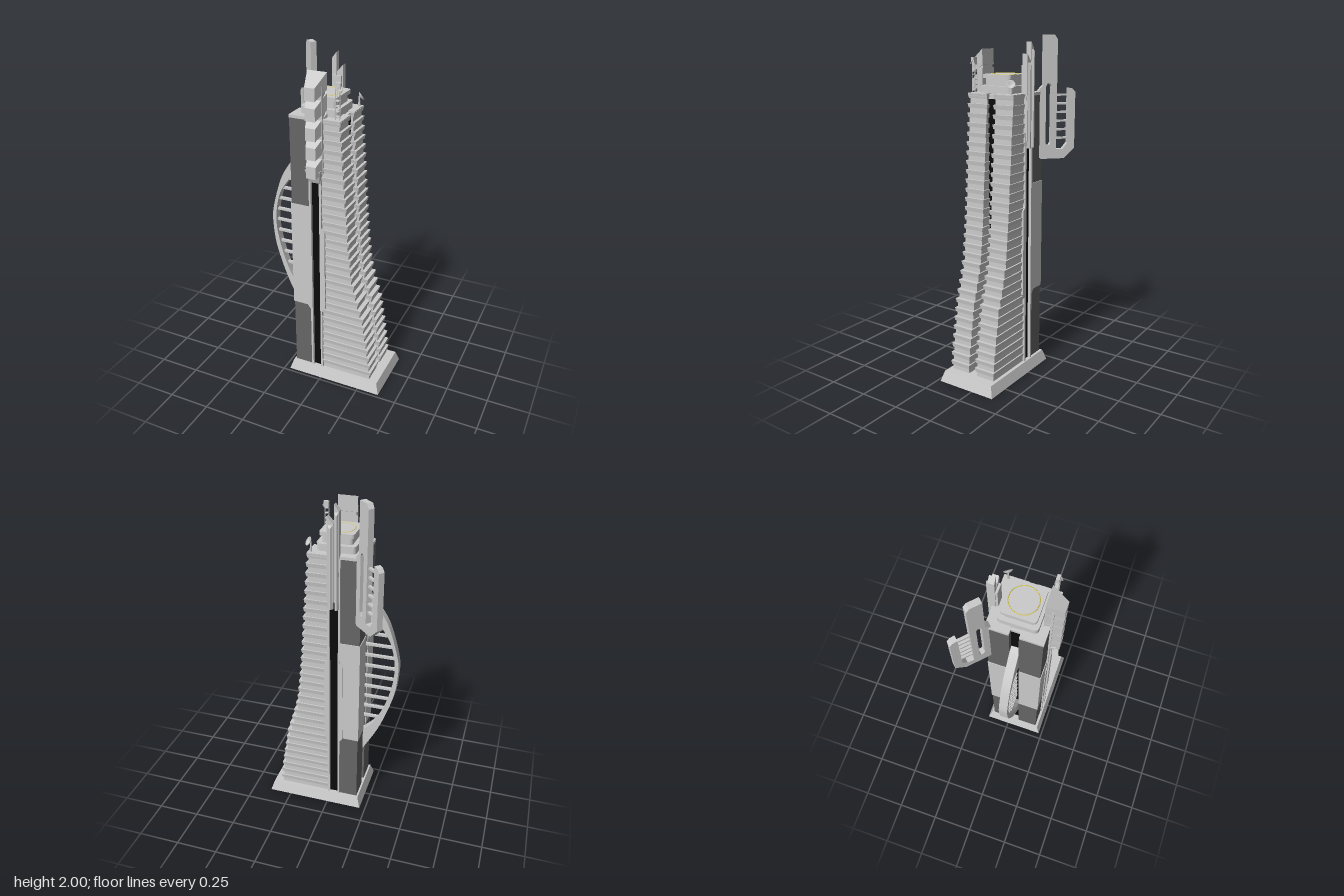
import * as THREE from 'three';

const grey = new THREE.MeshStandardMaterial({ color: 0xcccccc, flatShading: true });
const black = new THREE.MeshStandardMaterial({ color: 0x0c0c0c });
const lineGrey = new THREE.MeshStandardMaterial({ color: 0x666666 });
const yellow = new THREE.MeshStandardMaterial({ color: 0xe8d860 });
const ZC = 0.0425; // middle plane of the tower, front to back
const BOTTOM = 0.065, ROOF = 1.67;

function add(parent, name, geo, mat = grey) {
  const m = new THREE.Mesh(geo, mat);
  m.name = name;
  parent.add(m);
  return m;
}

// box given by its limits
function box(x0, x1, y0, y1, z0, z1) {
  return new THREE.BoxGeometry(x1 - x0, y1 - y0, z1 - z0)
    .translate((x0 + x1) / 2, (y0 + y1) / 2, (z0 + z1) / 2);
}

// unit box whose corners are placed by a rule of (a, b, c), each 0 or 1
function warpBox(rule) {
  const g = new THREE.BoxGeometry(1, 1, 1).translate(0.5, 0.5, 0.5);
  const p = g.attributes.position;
  for (let i = 0; i < p.count; i++) {
    p.setXYZ(i, ...rule(Math.round(p.getX(i)), Math.round(p.getY(i)), Math.round(p.getZ(i))));
  }
  g.computeVertexNormals();
  return g;
}

// box whose bottom and top are drawn in by different amounts
function taper(x0, x1, y0, y1, z0, z1, low, high) {
  return warpBox((a, b, c) => {
    const d = b ? high : low;
    return [a ? x1 - d : x0 + d, b ? y1 : y0, c ? z1 - d : z0 + d];
  });
}

function plate(points, depth) {
  const shape = new THREE.Shape(points.map(([x, y]) => new THREE.Vector2(x, y)));
  return new THREE.ExtrudeGeometry(shape, { depth, bevelEnabled: false });
}

// right edge of the tower at height y
const EDGE = [[0, 0.33], [0.2, 0.31], [0.5, 0.262], [0.62, 0.225], [0.75, 0.192], [1, 0.165], [1.38, 0.138], [1.7, 0.113]];
function edgeAt(y) {
  const i = Math.max(1, EDGE.findIndex(e => e[0] >= y));
  const [a, b] = [EDGE[i - 1], EDGE[i]];
  return THREE.MathUtils.mapLinear(y, a[0], b[0], a[1], b[1]);
}

function buildFloors(tower) {
  const floors = new THREE.Group();
  floors.name = 'floors';
  tower.add(floors);
  const n = 30, h = (ROOF + 0.01 - BOTTOM) / n;
  for (let i = 0; i < n; i++) {
    const y = BOTTOM + i * h, x = edgeAt(y + h);
    for (const [z0, z1] of [[-0.104, 0.014], [0.071, 0.189]]) {
      add(floors, 'floorWall', box(0, x - 0.008, y, y + h * 0.6, z0, z1));
      add(floors, 'floorSlab', taper(-0.002, x + 0.003, y + h * 0.55, y + h, z0 - 0.008, z1 + 0.008, 0.004, 0));
    }
  }
}

function buildGlass(tower) {
  for (const [z0, z1, s] of [[-0.108, 0.016, -1], [0.069, 0.193, 1]]) {
    const g = new THREE.Group();
    g.name = 'glassCorner';
    tower.add(g);
    const x0 = -0.183, x1 = -0.068, e = 0.001;
    add(g, 'glass', box(x0, x1, BOTTOM, ROOF, z0, z1), black);
    // glazing bars
    for (let i = 1; i < 30; i++) {
      const y = BOTTOM + i * 0.0535;
      add(g, 'crossBar', box(x0 - e, x1, y - 0.001, y + 0.001, z0 - e, z1 + e), lineGrey);
    }
    for (let i = 0; i <= 5; i++) {
      const x = x0 + (x1 - x0) * i / 5, z = z0 + (z1 - z0) * i / 5;
      add(g, 'uprightBar', box(x - e, x + e, BOTTOM, ROOF, z0 - e, z1 + e), lineGrey);
      add(g, 'uprightBar', box(x0 - e, x1, BOTTOM, ROOF, z - e, z + e), lineGrey);
    }
    // solid panel wrapping the corner
    add(g, 'cornerPanel', s > 0 ? box(-0.188, -0.07, 0.505, 1.165, 0.069, 0.198)
      : box(-0.188, -0.07, 0.505, 1.165, -0.113, 0.016));
  }
}

function buildPillars(tower) {
  const left = [[-0.06, BOTTOM], [-0.06, ROOF], [-0.072, ROOF], [-0.072, 1.04], [-0.09, 1.02], [-0.09, 0.505], [-0.072, 0.48], [-0.072, BOTTOM]];
  const right = [[-0.01, BOTTOM], [0.003, BOTTOM], [0.003, 0.48], [0.022, 0.505], [0.022, 1.02], [0.003, 1.04], [0.003, ROOF], [-0.01, ROOF]];
  for (const z of [0.17, -0.118]) {
    for (const pts of [left, right]) {
      add(tower, 'pillar', plate(pts, 0.033)).position.z = z;
    }
  }
}

function buildArch(tower) {
  const v = a => a.map(([x, y]) => new THREE.Vector2(x, y));
  const outer = [[-0.188, 1.435], [-0.265, 1.335], [-0.325, 1.225], [-0.378, 1.04], [-0.384, 0.93], [-0.362, 0.77], [-0.285, 0.545], [-0.188, 0.36]];
  const inner = [[-0.188, 0.505], [-0.27, 0.6], [-0.335, 0.78], [-0.363, 0.96], [-0.335, 1.13], [-0.27, 1.24]];
  const innerCurve = new THREE.SplineCurve(v(inner)).getPoints(30);
  const pts = [new THREE.Vector2(-0.155, 1.46), ...new THREE.SplineCurve(v(outer)).getPoints(40),
    new THREE.Vector2(-0.155, 0.33), new THREE.Vector2(-0.155, 0.48), ...innerCurve, new THREE.Vector2(-0.155, 1.245)];
  const geo = new THREE.ExtrudeGeometry(new THREE.Shape(pts), { depth: 0.05, bevelEnabled: false });
  add(tower, 'sideArch', geo).position.z = 0.018;
  for (let i = 0; i < 9; i++) {
    const y = 0.6 + i * 0.0715;
    const reach = innerCurve.reduce((a, b) => Math.abs(b.y - y) < Math.abs(a.y - y) ? b : a).x;
    add(tower, 'archRung', box(reach - 0.008, -0.15, y - 0.007, y + 0.007, 0.034, 0.052));
  }
}

// diagonal blade with a ladder frame at the back corner
function buildBlade(tower) {
  const g = new THREE.Group();
  g.name = 'cornerBlade';
  const shape = new THREE.Shape([[0, 1.31], [0.02, 1.295], [0.16, 1.295], [0.222, 1.355], [0.222, 1.68], [0.205, 1.7], [0.178, 1.705],
    [0.178, 1.385], [0.15, 1.35], [0.112, 1.35], [0.112, 1.975], [0.095, 2], [0.03, 2], [0.03, 1.72], [0, 1.69]]
    .map(([x, y]) => new THREE.Vector2(x, y)));
  shape.holes.push(new THREE.Path([[0.047, 1.39], [0.055, 1.375], [0.07, 1.375], [0.078, 1.39],
    [0.078, 1.715], [0.07, 1.73], [0.055, 1.73], [0.047, 1.715]].map(([x, y]) => new THREE.Vector2(x, y))));
  add(g, 'blade', new THREE.ExtrudeGeometry(shape, { depth: 0.034, bevelEnabled: false }).translate(0, 0, -0.017));
  for (let i = 0; i < 6; i++) {
    const y = 1.415 + i * 0.05;
    add(g, 'bladeRung', box(0.105, 0.185, y - 0.006, y + 0.006, -0.008, 0.008));
  }
  g.position.set(-0.163, 0, -0.09);
  g.rotation.y = Math.PI * 0.757;
  tower.add(g);
}

// stacked wedge hoods on the front
function buildHoods(tower) {
  add(tower, 'hoodSpine', box(-0.078, 0.015, 1.38, 1.86, 0.165, 0.205));
  add(tower, 'hoodFoot', warpBox((a, b, c) => [-0.033 + (a - 0.5) * (b ? 0.09 : 0.06), b ? 1.4 : 1.32, c ? (b ? 0.235 : 0.205) : 0.17]));
  for (let i = 0; i < 5; i++) {
    const top = 1.86 - i * 0.107;
    add(tower, 'hood', warpBox((a, b, c) => [
      -0.031 + (a - 0.5) * (c ? 0.058 : 0.112),
      b ? (c ? top : top + 0.065) : (c ? top - 0.07 : top - 0.025),
      c ? 0.253 : 0.162]));
  }
}

// pointed blades on the back
function buildSpire(tower) {
  const spire = (x0, x1, yl, yr) => {
    const m = (x0 + x1) / 2;
    add(tower, 'backSpire', warpBox((a, b, c) => [a ? x1 : x0, b ? (a ? yr : yl) : 1.42, c ? -0.092 : -0.125]));
    add(tower, 'spireRidge', warpBox((a, b, c) => [c ? (a ? x1 : x0) : m + (a - 0.5) * 0.008, b ? yl - (c ? 0 : 0.02) : 1.38, c ? -0.12 : -0.137]));
  };
  spire(-0.066, -0.04, 1.93, 1.965);
  spire(-0.036, 0, 1.86, 1.9);
  add(tower, 'spireBack', box(-0.062, -0.008, 1.4, 1.84, -0.092, -0.08));
}

function roundedSlab(x0, x1, z0, z1, r, y, h) {
  const s = new THREE.Shape();
  s.moveTo(x0 + r, z0).lineTo(x1 - r, z0).quadraticCurveTo(x1, z0, x1, z0 + r)
    .lineTo(x1, z1 - r).quadraticCurveTo(x1, z1, x1 - r, z1)
    .lineTo(x0 + r, z1).quadraticCurveTo(x0, z1, x0, z1 - r)
    .lineTo(x0, z0 + r).quadraticCurveTo(x0, z0, x0 + r, z0);
  return new THREE.ExtrudeGeometry(s, { depth: h, bevelEnabled: false, curveSegments: 5 })
    .rotateX(Math.PI / 2).translate(0, y + h, 0);
}

function buildRoof(tower) {
  add(tower, 'roofDeck', box(-0.155, 0.095, 1.655, 1.68, -0.105, 0.19));
  for (const [z0, z1] of [[-0.111, 0.016], [0.069, 0.196]]) {
    add(tower, 'roofEdge', box(-0.185, 0.116, 1.668, 1.685, z0, z1));
  }
  // landing pad
  add(tower, 'padBase', roundedSlab(-0.14, 0.077, -0.065, 0.15, 0.025, 1.68, 0.045));
  add(tower, 'padNeck', roundedSlab(-0.115, 0.055, -0.04, 0.125, 0.02, 1.72, 0.05));
  add(tower, 'padTop', roundedSlab(-0.127, 0.067, -0.052, 0.137, 0.02, 1.765, 0.022));
  add(tower, 'padRing', new THREE.TorusGeometry(0.077, 0.0025, 4, 48).rotateX(Math.PI / 2).translate(-0.031, 1.787, ZC), yellow);
  // lattice mast and dishes
  const dish = (x, y, z, r, turn) => {
    const pts = [[0, 0], [r * 0.5, r * 0.12], [r * 0.85, r * 0.35], [r, r * 0.55], [r * 0.8, r * 0.4], [0, r * 0.1]];
    const d = add(tower, 'dish', new THREE.LatheGeometry(pts.map(p => new THREE.Vector2(...p)), 12),
      new THREE.MeshStandardMaterial({ color: 0xcccccc, side: THREE.DoubleSide }));
    d.position.set(x, y, z);
    d.rotation.set(1, turn, 0, 'YXZ');
  };
  for (const [a, b] of [[-1, -1], [-1, 1], [1, -1], [1, 1]]) {
    add(tower, 'mastLeg', new THREE.CylinderGeometry(0.002, 0.002, 0.17, 4).translate(0.09 + a * 0.01, 1.765, 0.168 + b * 0.01));
  }
  for (let i = 0; i < 6; i++) {
    add(tower, 'mastBrace', box(0.079, 0.101, 1.7 + i * 0.028, 1.704 + i * 0.028, 0.157, 0.179));
  }
  add(tower, 'mastHead', box(0.078, 0.108, 1.845, 1.88, 0.16, 0.178));
  dish(0.1, 1.85, 0.175, 0.016, 0.6);
  add(tower, 'dishPost', new THREE.CylinderGeometry(0.004, 0.007, 0.06, 6).translate(0.1, 1.71, -0.085));
  dish(0.103, 1.735, -0.083, 0.026, 2.2);
}

export function createModel() {
  const tower = new THREE.Group();
  tower.name = 'tower';
  add(tower, 'base', taper(-0.215, 0.385, 0, BOTTOM, -0.145, 0.23, 0, 0.02));
  add(tower, 'darkCore', box(-0.155, 0.095, BOTTOM, 1.66, -0.1, 0.185), black);
  buildFloors(tower);
  buildGlass(tower);
  buildPillars(tower);
  buildArch(tower);
  buildBlade(tower);
  buildHoods(tower);
  buildSpire(tower);
  buildRoof(tower);
  return tower;
}
